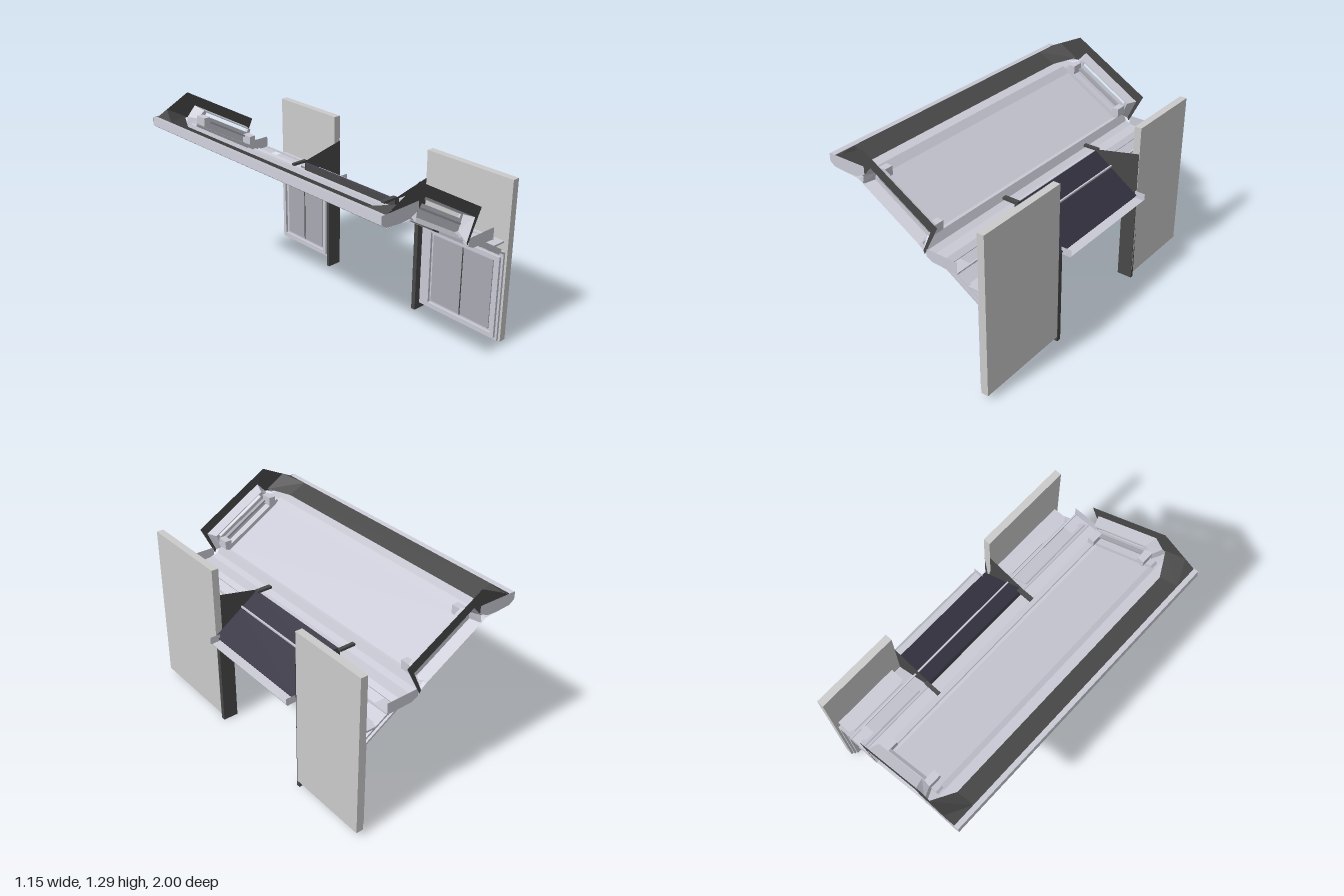
import * as THREE from 'three';

const mat = (color) => new THREE.MeshStandardMaterial({ color, side: THREE.DoubleSide, flatShading: true });

export function createModel() {
  const root = new THREE.Group();
  const light = mat(0xcacad6), grey = mat(0xcccccc), dark = mat(0x484848), panel = mat(0x343240), mid = mat(0xa8a8b2);

  const add = (name, geo, material, parent = root) => {
    const m = new THREE.Mesh(geo, material);
    m.name = name;
    parent.add(m);
    return m;
  };
  // Box given by its limits
  const box = (name, x0, x1, y0, y1, z0, z1, material) => {
    const [a, b] = [Math.min(z0, z1), Math.max(z0, z1)];
    add(name, new THREE.BoxGeometry(x1 - x0, y1 - y0, b - a), material)
      .position.set((x0 + x1) / 2, (y0 + y1) / 2, (a + b) / 2);
  };
  // Surface between two matching rows of [x, y, z] points
  const loft = (name, a, b, material, closed = false) => {
    const pos = [], n = a.length;
    for (let i = 0; i < (closed ? n : n - 1); i++) {
      const j = (i + 1) % n;
      pos.push(...a[i], ...a[j], ...b[j], ...a[i], ...b[j], ...b[i]);
    }
    const g = new THREE.BufferGeometry();
    g.setAttribute('position', new THREE.Float32BufferAttribute(pos, 3));
    g.computeVertexNormals();
    return add(name, g, material);
  };
  const atZ = (pts, z) => pts.map(([x, y]) => [x, y, z]);
  const sheet = (name, pts, z0, z1, material) => loft(name, atZ(pts, z0), atZ(pts, z1), material);
  // Flat plate in the xy plane, with optional holes
  const plate = (name, pts, z, material, holes = [], depth = 0) => {
    const s = new THREE.Shape(pts.map((p) => new THREE.Vector2(...p)));
    holes.forEach((h) => s.holes.push(new THREE.Path(h.map((p) => new THREE.Vector2(...p)))));
    const g = depth ? new THREE.ExtrudeGeometry(s, { depth, bevelEnabled: false }) : new THREE.ShapeGeometry(s);
    add(name, g, material).position.z = z;
  };
  // Bar along z lying on a slope from p to q, with thickness t
  const slab = (name, p, q, t, z0, z1, material) => {
    const dx = q[0] - p[0], dy = q[1] - p[1], l = Math.hypot(dx, dy);
    const m = add(name, new THREE.BoxGeometry(l, t, Math.abs(z1 - z0)), material);
    m.position.set((p[0] + q[0]) / 2, (p[1] + q[1]) / 2, (z0 + z1) / 2);
    m.rotation.z = Math.atan2(dy, dx);
  };
  const mix = (p, q, t) => [p[0] + (q[0] - p[0]) * t, p[1] + (q[1] - p[1]) * t];

  // Outer rim, sloping main panel and its lower step
  sheet('outerRim', [[-0.57, 1.185], [-0.575, 1.135], [-0.54, 1.11], [-0.43, 1.105], [-0.36, 1.098], [-0.32, 1.075]], -1, 1, light);
  sheet('rimLip', [[-0.57, 1.185], [-0.54, 1.18]], -1, 1, light);
  sheet('darkBand', [[-0.54, 1.18], [-0.42, 1.125]], -0.85, 0.85, dark);
  sheet('bandStep', [[-0.42, 1.125], [-0.36, 1.115], [-0.32, 1.075]], -0.88, 0.88, light);
  sheet('mainPanel', [[-0.32, 1.075], [0.05, 0.857]], -0.92, 0.92, light);
  sheet('lowerStep', [[0.05, 0.857], [0.07, 0.855], [0.09, 0.805], [0.13, 0.79], [0.2, 0.785]], -0.98, 0.98, light);
  slab('undersideRail', [-0.1, 0.935], [-0.05, 0.905], 0.015, -0.92, 0.92, dark);

  // Window outline in the end walls, and its smaller inner outline
  const outer = [[-0.26, 1.195], [0.15, 0.955], [0.09, 0.82], [0.06, 0.845], [-0.33, 1.075], [-0.32, 1.13]];
  const inner = [[-0.24, 1.172], [0.125, 0.958], [0.09, 0.87], [0.06, 0.873], [-0.3, 1.085], [-0.29, 1.13]];
  for (const s of [1, -1]) {
    // Dark end wall around the window
    plate('endWall', [[-0.53, 1.185], [-0.31, 1.292], [0.2, 1.0], [0.1, 0.8], [0.09, 0.82], [0.15, 0.955],
      [-0.26, 1.195], [-0.32, 1.13], [-0.36, 1.13]], s * 0.998, dark);
    // Folded corner joining the band to the end wall
    loft('cornerFold', [[-0.54, 1.18, s * 0.85], [-0.42, 1.125, s * 0.85]],
      [[-0.47, 1.215, s * 0.998], [-0.34, 1.14, s * 0.998]], dark);
    loft('cornerFill', [[-0.54, 1.18, s * 0.85], [-0.54, 1.18, s * 0.998]],
      [[-0.54, 1.18, s * 0.85], [-0.47, 1.215, s * 0.998]], dark);
    // Light end cap of the rim
    plate('rimEndCap', [[-0.575, 1.185], [-0.575, 1.135], [-0.54, 1.112], [-0.44, 1.105], [-0.37, 1.11],
      [-0.31, 1.14], [-0.31, 1.19]], s, light);
    // Window surround: sloped reveal, inner frame, sill and mullions
    loft('windowReveal', atZ(outer, s * 0.998), atZ(inner, s * 0.93), light, true);
    plate('windowFrame', inner, s * 0.93 - 0.005, light,
      [[[-0.225, 1.158], [0.105, 0.965], [0.095, 0.945], [-0.235, 1.137]]], 0.01);
    slab('windowRail', [-0.25, 1.115], [0.09, 0.916], 0.012, s * 0.9, s * 0.95, mid);
    slab('windowSill', [-0.34, 1.098], [0.07, 0.86], 0.03, s * 0.88, s * 0.925, light);
    sheet('sillFloor', [[-0.33, 1.075], [0.06, 0.845]], s * 0.9, s * 0.998, light);
    for (const t of [0.0, 1.0]) {
      const c = mix([-0.27, 1.125], [0.085, 0.915], t);
      box('windowBracket', c[0] - 0.025, c[0] + 0.02, c[1] - 0.03, c[1] + 0.025, s * 0.85, s * 0.93, light);
    }
    // End of the cross beam
    plate('beamEnd', [[0.11, 0.84], [0.11, 0.79], [0.15, 0.77], [0.325, 0.765], [0.325, 0.84]], s * 0.998, light);
    sheet('beamEndFloor', [[0.11, 0.79], [0.15, 0.77], [0.325, 0.765]], s * 0.88, s * 0.998, light);
  }

  // Thin bar across the full length
  box('crossBar', 0.314, 0.324, 0.762, 0.772, -1, 1, light);

  // The two wall bays: end e (+1 or -1) and position of the inner edge
  for (const [e, edge] of [[1, 0.36], [-1, -0.46]]) {
    const far = e, a = edge + e * 0.06, b = e * 0.97;
    box('wallPanel', 0.467, 0.513, 0.035, 1.083, edge, far, grey);

    // Inner lining with raised frame and split inset
    box('wallLining', 0.452, 0.467, 0.04, 0.63, edge, e * 0.985, light);
    box('liningInset', 0.446, 0.453, 0.1, 0.56, a + e * 0.04, b - e * 0.05, mid);
    for (const [y0, y1] of [[0.06, 0.085], [0.575, 0.6]]) box('liningRail', 0.436, 0.453, y0, y1, a, b, light);
    for (const z of [a, b - e * 0.025]) box('liningStile', 0.436, 0.453, 0.06, 0.6, z, z + e * 0.025, light);
    const m = (a + b) / 2;
    box('insetSeam', 0.443, 0.447, 0.1, 0.56, m - 0.003, m + 0.003, dark);

    // Sloping panel from the wall up to the lower step
    const p = [0.2, 0.785], q = [0.455, 0.625];
    slab('slopePanel', p, q, 0.012, edge, e * 0.985, light);
    for (const t of [0.06, 0.86]) {
      const u = mix(p, q, t), v = mix(p, q, t + 0.08);
      slab('slopeRail', u, v, 0.035, a, b, light);
    }
    for (const z of [a, b - e * 0.025]) slab('slopeStile', mix(p, q, 0.06), mix(p, q, 0.94), 0.035, z, z + e * 0.025, light);
    box('upperLedge', 0.36, 0.467, 0.685, 0.697, a, b, light);

    // Dark post, fin and arm at the inner edge
    const z0 = e > 0 ? 0.328 : -0.478, z1 = e > 0 ? 0.358 : -0.455;
    box('post', 0.413, 0.513, 0, 0.62, z0, z1, dark);
    plate('fin', [[0.2, 0.845], [0.2, 0.775], [0.413, 0.63], [0.413, 0.6], [0.513, 0.6], [0.513, 0.912]],
      e > 0 ? 0.36 : -0.455, dark);
    box('finArm', 0.11, 0.215, 0.835, 0.85, z0, z1, dark);
  }

  // Sloping console between the bays, with its tray
  slab('consoleUpper', [0.2, 0.835], [0.315, 0.757], 0.014, -0.45, 0.358, panel);
  slab('consoleLower', [0.32, 0.752], [0.513, 0.622], 0.014, -0.45, 0.358, panel);
  sheet('consoleBack', [[0.2, 0.83], [0.2, 0.775], [0.413, 0.63], [0.5, 0.615]], -0.45, 0.358, dark);
  sheet('trayFloor', [[0.5, 0.612], [0.565, 0.608], [0.575, 0.618]], -0.45, 0.325, light);
  for (const z of [-0.45, 0.325]) {
    plate('trayEnd', [[0.505, 0.61], [0.565, 0.607], [0.575, 0.618], [0.575, 0.657], [0.505, 0.657]], z, light);
  }
  return root;
}
